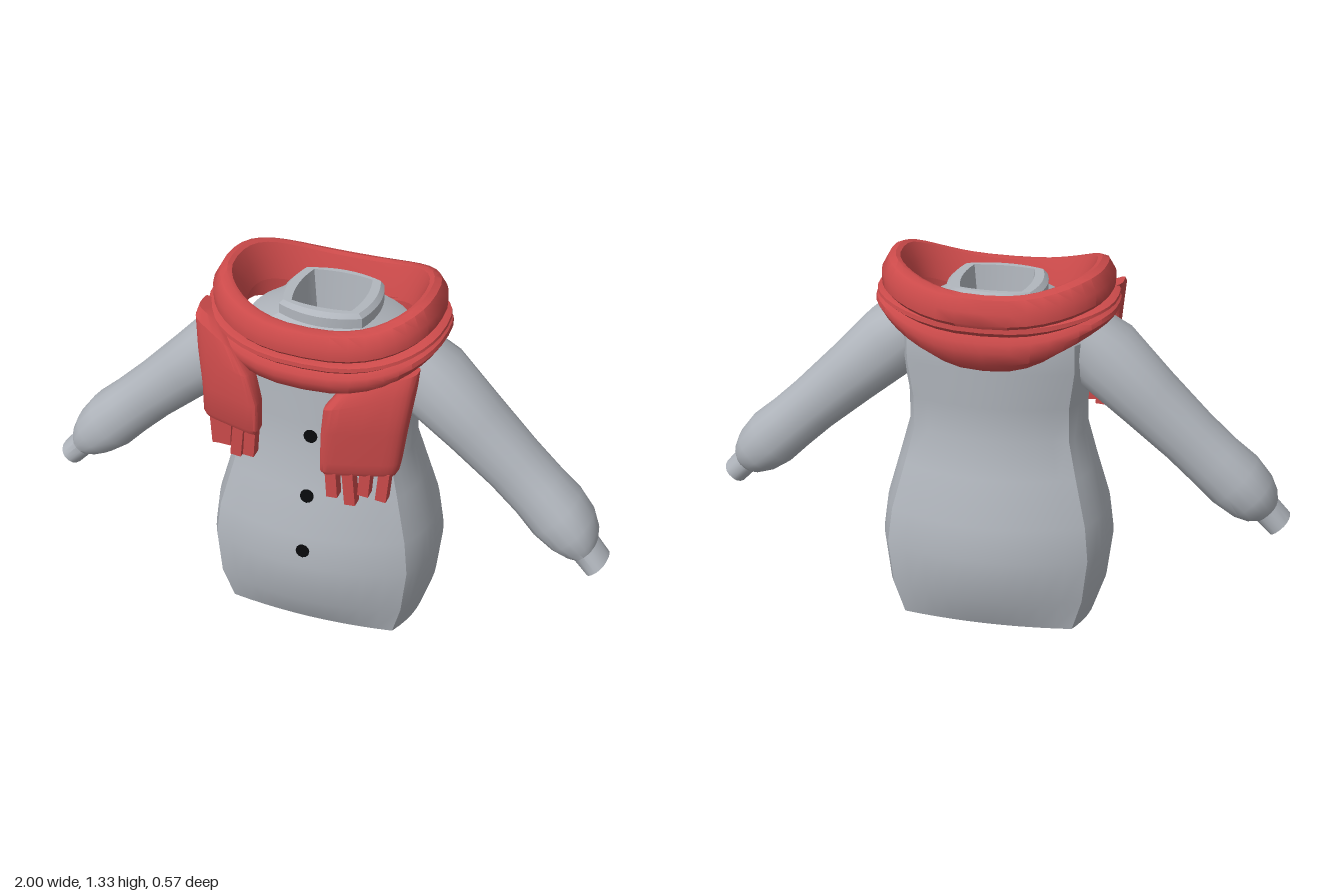
import * as THREE from 'three';
import { toCreasedNormals } from 'three/addons/utils/BufferGeometryUtils.js';

const V = (x, y, z) => new THREE.Vector3(x, y, z);
const spow = (v, e) => Math.sign(v) * Math.abs(v) ** e;

// Skin a list of closed rings; (row direction x ring direction) points outward
function loft(rows, crease = 0.55) {
  const n = rows[0].length, index = [];
  for (let i = 0; i < rows.length - 1; i++) {
    for (let j = 0; j < n; j++) {
      const k = (j + 1) % n;
      const a = i * n + j, b = a + n, c = i * n + k, d = c + n;
      index.push(a, b, c, b, d, c);
    }
  }
  const g = new THREE.BufferGeometry().setFromPoints(rows.flat());
  g.setIndex(index);
  return toCreasedNormals(g, crease);
}

// Body stations: y, half width, half depth, z centre, squareness of the corners in depth
const BODY = [
  [0.003, 0, 0, 0, 0.88], [0.016, 0.2, 0.12, -0.002, 0.88], [0.042, 0.34, 0.207, -0.003, 0.88],
  [0.16, 0.38, 0.265, 0, 0.75], [0.32, 0.4, 0.282, -0.002, 0.7],
  [0.44, 0.385, 0.265, 0, 0.7], [0.6, 0.34, 0.222, 0, 0.7], [0.73, 0.305, 0.19, 0.004, 0.7],
  [0.85, 0.305, 0.188, -0.004, 0.7], [0.98, 0.325, 0.19, -0.01, 0.7], [1.08, 0.325, 0.188, -0.015, 0.7],
  [1.14, 0.28, 0.18, -0.017, 0.72], [1.18, 0.2, 0.165, -0.02, 0.75],
  // neck rim and its hollow inside
  [1.2, 0.165, 0.15, -0.02, 0.75], [1.235, 0.165, 0.15, -0.02, 0.75], [1.25, 0.15, 0.137, -0.022, 0.8],
  [1.25, 0.118, 0.117, -0.024, 0.9], [1.11, 0.102, 0.102, -0.024, 0.92], [1.11, 0, 0, -0.024, 0.92],
];

// Four bowed sides meeting at soft corners
function bodyRing([y, hx, hz, zc, square]) {
  const cx = hx * 0.87, cz = hz * square, S = 10, ring = [];
  for (let side = 0; side < 4; side++) {
    for (let j = 0; j < S; j++) {
      const t = -1 + 2 * j / S, bow = 1 - t * t;
      const sx = cx + (hx - cx) * bow, sz = cz + (hz - cz) * bow;
      const [x, z] = [[sx, cz * t], [-cx * t, sz], [-sx, -cz * t], [cx * t, -sz]][side];
      ring.push(V(x, y, z + zc));
    }
  }
  return ring;
}

// Front surface depth at a height
function frontZ(y) {
  const i = BODY.findIndex((s) => s[0] > y), a = BODY[i - 1], b = BODY[i];
  return THREE.MathUtils.lerp(a[2] + a[3], b[2] + b[3], (y - a[0]) / (b[0] - a[0]));
}

// Arm stations: x, y, z, radius in the front plane, radius in depth
const ARM = [
  [0.24, 1.1, -0.005, 0.1, 0.11], [0.36, 1.0, 0, 0.125, 0.135], [0.51, 0.86, -0.002, 0.11, 0.12],
  [0.65, 0.73, 0, 0.1, 0.108], [0.74, 0.645, 0.003, 0.1, 0.106], [0.81, 0.58, 0.01, 0.104, 0.113],
  [0.87, 0.523, 0.015, 0.09, 0.108], [0.905, 0.487, 0.022, 0.068, 0.09], [0.922, 0.468, 0.03, 0.047, 0.068],
  [0.968, 0.418, 0.035, 0.045, 0.066], [0.968, 0.418, 0.035, 0.037, 0.056],
  [0.92, 0.468, 0.033, 0.035, 0.052], [0.92, 0.468, 0.033, 0, 0],
];

function armGeometry(side) {
  const rows = ARM.map(([x, y, z, r, rz], i) => {
    const p = ARM[Math.max(0, Math.min(i, 9) - 1)], q = ARM[Math.min(9, i + 1)];
    const d = V(q[0] - p[0], q[1] - p[1], 0).normalize();
    const ring = [];
    for (let j = 0; j < 18; j++) {
      const a = j / 18 * Math.PI * 2;
      const c = spow(Math.cos(a), 0.88) * r, s = spow(Math.sin(a), 0.88) * rz;
      ring.push(V(side * (x - d.y * c), y + d.x * c, z - s));
    }
    return side < 0 ? ring.reverse() : ring;
  });
  return loft(rows);
}

// Scarf loop: profile of [outward offset, 0..1 height], sagging at front and back.
// top and bottom hold the heights at [side, front, back].
function loopGeometry(rx, zf, zb, top, bottom, profile) {
  const rows = [], N = 40;
  const level = (h, s) => h[0] + (s > 0 ? (h[1] - h[0]) * s * s : (h[2] - h[0]) * Math.abs(s) ** 3);
  for (let i = 0; i <= N; i++) {
    const a = (i % N) / N * Math.PI * 2, s = Math.sin(a);
    const cx = spow(Math.cos(a), 0.8), cz = spow(s, 0.8);
    const lo = level(bottom, s), hi = level(top, s);
    rows.push(profile.map(([o, v]) =>
      V((rx + o) * cx, lo + (hi - lo) * v, ((s > 0 ? zf : zb) + o) * cz)));
  }
  return loft(rows, 0.7);
}

const TAIL_YAW = 0.3; // outer edges wrap back around the chest

// Hanging scarf end, stations from the top: y, x, half width, z, half depth, slope across
function tailGeometry(stations) {
  const first = stations[0], last = stations[stations.length - 1];
  const closed = [[first[0], first[1], 0, first[3], 0], ...stations, [last[0], last[1], 0, last[3], 0]];
  return loft(closed.map(([y, x, hw, z, hd, slope = 0]) => {
    const ring = [];
    for (let j = 0; j < 24; j++) {
      const a = j / 24 * Math.PI * 2, u = hw * spow(Math.cos(a), 0.4);
      const back = TAIL_YAW * u * Math.sign(x);
      ring.push(V(x + u, y + slope * u, z - back - hd * spow(Math.sin(a), 0.5)));
    }
    return ring;
  }));
}

export function createModel() {
  const model = new THREE.Group();
  model.name = 'snowSuit';
  const mat = (name, color) => {
    const m = new THREE.MeshStandardMaterial({ color });
    m.name = name;
    return m;
  };
  const grey = mat('paleGrey', 0xb1b6bd);
  const red = mat('scarfRed', 0xcb4a4a);
  const black = mat('buttonBlack', 0x08090b);
  const add = (name, geometry, material, parent = model) => {
    const m = new THREE.Mesh(geometry, material);
    m.name = name;
    parent.add(m);
    return m;
  };

  add('body', loft(BODY.map(bodyRing), 0.42), grey);
  add('leftArm', armGeometry(1), grey);
  add('rightArm', armGeometry(-1), grey);

  // Buttons lie flat on the sloping front
  for (const y of [0.805, 0.585, 0.385]) {
    const b = add('button', new THREE.CylinderGeometry(0.024, 0.024, 0.009, 12), black);
    const slope = (frontZ(y + 0.02) - frontZ(y - 0.02)) / 0.04;
    b.position.set(0, y, frontZ(y) - 0.0005);
    b.rotation.x = Math.PI / 2 + Math.atan(slope);
  }

  // Scarf wraps
  const scarf = new THREE.Group();
  scarf.name = 'scarf';
  model.add(scarf);
  add('upperWrap', loopGeometry(0.385, 0.258, 0.283, [1.33, 1.24, 1.27], [1.205, 1.13, 1.15],
    [[-0.045, 1], [-0.022, 0.93], [0, 0.6], [0, 0.25], [-0.025, 0], [-0.105, 0], [-0.085, 0.5], [-0.06, 0.95]]),
    red, scarf);
  add('lowerWrap', loopGeometry(0.405, 0.272, 0.275, [1.22, 1.15, 1.185], [1.14, 1.01, 1.0],
    [[-0.03, 1], [-0.004, 0.92], [-0.002, 0.82], [-0.014, 0.74], [0, 0.62], [0.003, 0.45], [-0.01, 0.2],
      [-0.05, 0], [-0.1, 0.08], [-0.1, 0.9]]),
    red, scarf);

  // Scarf ends
  add('leftTail', tailGeometry([
    [1.075, 0.235, 0.125, 0.19, 0.035, 0.35], [1.02, 0.215, 0.14, 0.208, 0.046, 0.25],
    [0.9, 0.2, 0.132, 0.218, 0.042], [0.78, 0.19, 0.126, 0.222, 0.037],
    [0.745, 0.187, 0.123, 0.224, 0.034], [0.73, 0.187, 0.115, 0.224, 0.026],
  ]), red, scarf);
  add('rightTail', tailGeometry([
    [1.2, -0.36, 0.038, 0.14, 0.04, -0.5], [1.16, -0.325, 0.075, 0.178, 0.05, -0.5],
    [1.07, -0.285, 0.102, 0.21, 0.05, -0.2], [0.95, -0.262, 0.112, 0.224, 0.042],
    [0.85, -0.26, 0.111, 0.23, 0.036], [0.83, -0.26, 0.103, 0.23, 0.026],
  ]), red, scarf);

  // Fringe strands: x, top y, length, tilt
  const strands = [
    [0.1, 0.74, 0.1, -0.06], [0.153, 0.74, 0.13, -0.08], [0.21, 0.74, 0.095, 0.08], [0.27, 0.74, 0.115, 0.1],
    [-0.325, 0.84, 0.11, -0.06], [-0.28, 0.84, 0.1, 0.05], [-0.23, 0.84, 0.125, 0.1], [-0.182, 0.84, 0.105, 0.08],
  ];
  for (const [x, y, length, tilt] of strands) {
    const g = new THREE.BoxGeometry(0.038, length, 0.042);
    g.translate(0, -length / 2, 0);
    const s = add('fringeStrand', g, red, scarf);
    const middle = x > 0 ? 0.187 : 0.26;
    s.position.set(x, y, 0.228 - TAIL_YAW * (Math.abs(x) - middle));
    s.rotation.z = -tilt;
  }
  return model;
}
